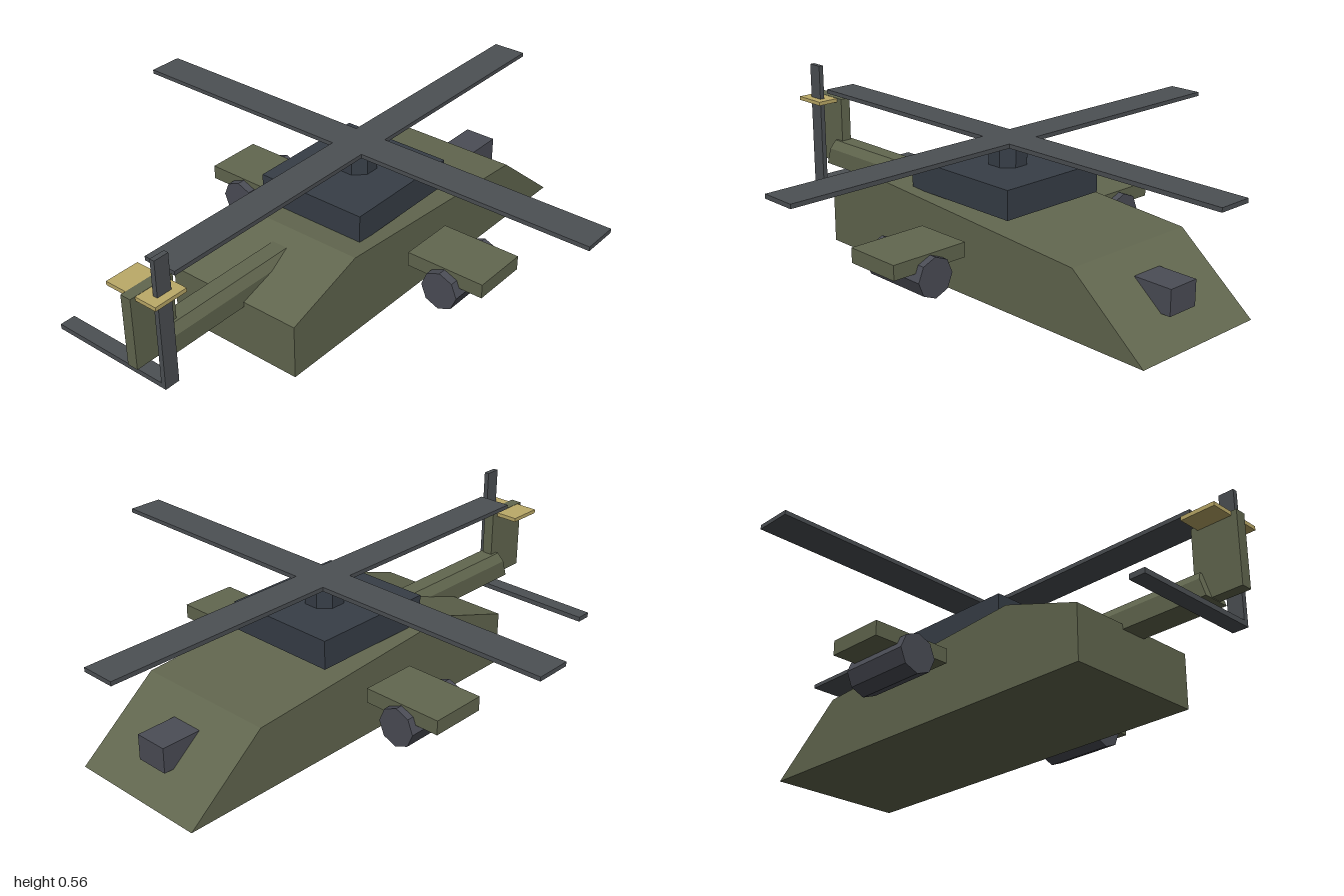
import * as THREE from 'three';

const paint = (color) => new THREE.MeshStandardMaterial({ color, flatShading: true });

export function createModel() {
  const model = new THREE.Group();
  const olive = paint(0x62674f), dark = paint(0x373e47), steel = paint(0x4c5054);
  const podGrey = paint(0x4b4d56), gold = paint(0xbcaa68);

  const add = (name, geometry, material) => {
    const mesh = new THREE.Mesh(geometry, material);
    mesh.name = name;
    model.add(mesh);
    return mesh;
  };
  // Box given by its limits on each axis
  const box = (name, [x0, x1], [y0, y1], [z0, z1], material) =>
    add(name, new THREE.BoxGeometry(x1 - x0, y1 - y0, z1 - z0), material)
      .position.set((x0 + x1) / 2, (y0 + y1) / 2, (z0 + z1) / 2);

  const extrude = (points, depth) => new THREE.ExtrudeGeometry(
    new THREE.Shape(points.map(([u, v]) => new THREE.Vector2(u, v))),
    { depth, bevelEnabled: false });

  // Fuselage: side profile (z, y) extruded across the width
  const hull = extrude([[0.57, 0], [0.57, 0.195], [0.27, 0.295], [-0.61, 0.235], [-0.9, 0]], 0.52);
  hull.translate(0, 0, -0.26).rotateY(-Math.PI / 2);
  add('fuselage', hull, olive);

  // Engine housing, rotor hub and crossed main blades
  box('engineHousing', [-0.21, 0.21], [0.285, 0.387], [-0.28, 0.185], dark);
  const hub = new THREE.CylinderGeometry(0.07, 0.07, 0.09, 8).rotateY(Math.PI / 8);
  add('rotorHub', hub, dark).position.set(0, 0.425, -0.065);
  box('mainBladeAcross', [-0.93, 0.93], [0.463, 0.478], [-0.135, -0.008], steel);
  box('mainBladeAlong', [-0.062, 0.062], [0.463, 0.478], [-1, 0.86], steel);

  // Nose sensor
  box('noseSensor', [-0.06, 0.06], [0.085, 0.175], [-0.83, -0.6], podGrey);

  // Stub wings with octagonal pods
  for (const side of [-1, 1]) {
    const wing = add('stubWing', new THREE.BoxGeometry(0.295, 0.052, 0.21), olive);
    wing.position.set(side * 0.445, 0.182, -0.07);
    const pod = add('weaponPod', new THREE.CylinderGeometry(0.07, 0.07, 0.265, 8).rotateX(Math.PI / 2), podGrey);
    pod.position.set(side * 0.445, 0.133, -0.068);
  }

  // Tail boom: chamfered section, its end sloping in at the top
  const boom = extrude([[-0.05, 0.177], [0.05, 0.177], [0.05, 0.24], [0.03, 0.272], [-0.03, 0.272], [-0.05, 0.24]], 0.69);
  boom.translate(0, 0, 0.2);
  const p = boom.attributes.position;
  for (let i = 0; i < p.count; i++) {
    if (p.getZ(i) > 0.5 && p.getY(i) > 0.2) p.setZ(i, 0.89 - (p.getY(i) - 0.177) * 0.32);
  }
  boom.computeVertexNormals();
  add('tailBoom', boom, olive);

  // Fin, stabiliser and L-shaped tail rotor
  box('tailFin', [-0.02, 0.02], [0.18, 0.437], [0.83, 1], olive);
  box('stabiliser', [-0.103, 0.103], [0.422, 0.436], [0.855, 0.98], gold);
  box('tailBladeUpright', [0.056, 0.074], [0.095, 0.565], [0.888, 0.944], steel);
  box('tailBladeSideways', [-0.4, 0.074], [0.095, 0.113], [0.888, 0.944], steel);

  return model;
}
